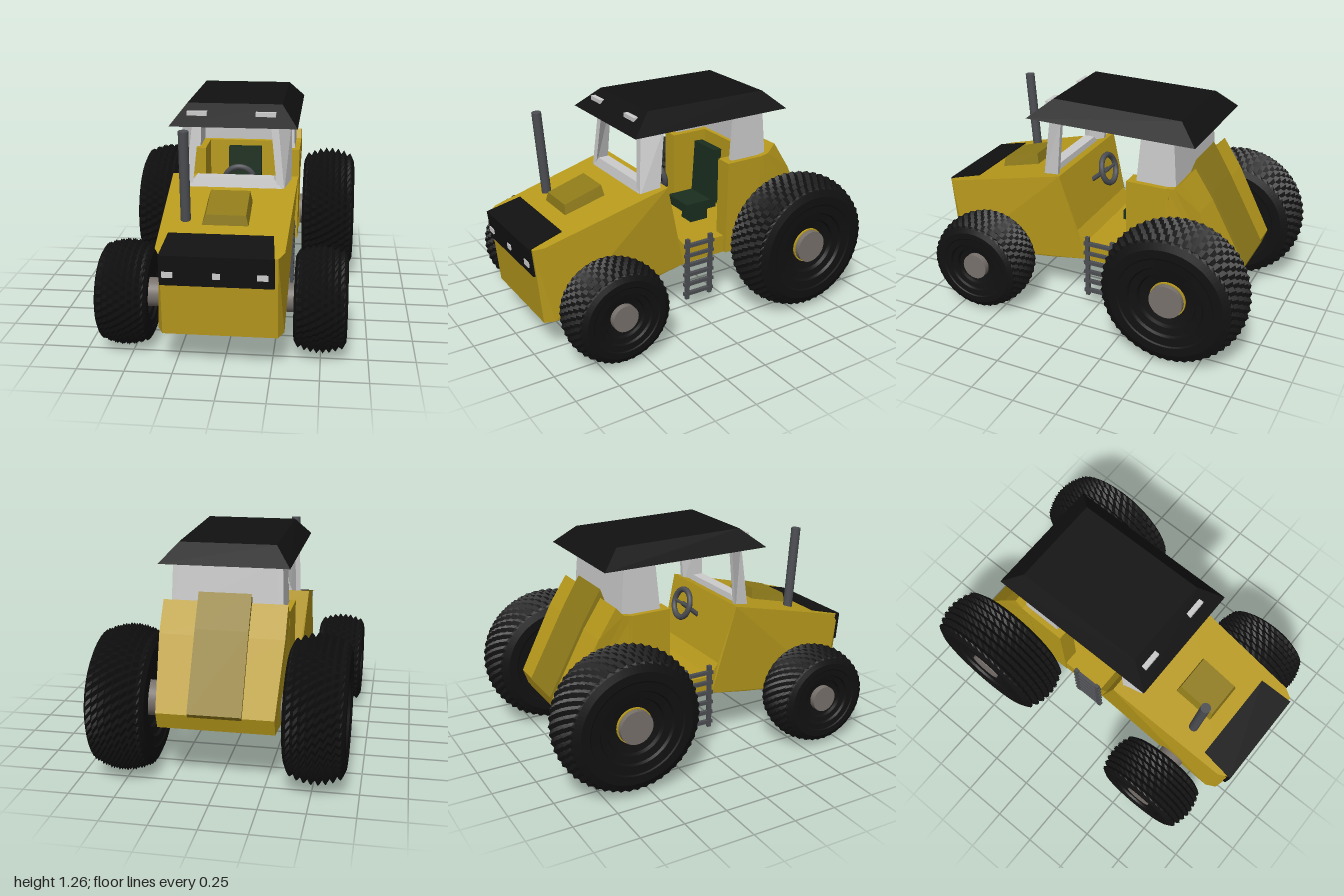
import * as THREE from 'three';

const mat = (color, extra = {}) => new THREE.MeshStandardMaterial({ color, flatShading: true, ...extra });
const YELLOW = mat(0xb89a1c), OCHRE = mat(0x8f7b1a), BLACK = mat(0x111111), GREY = mat(0xcccccc);
const STEEL = mat(0x4c4e52, { flatShading: false }), HUB = mat(0x78716c, { flatShading: false });
const GREEN = mat(0x1a2e1e);

export function createModel() {
  const model = new THREE.Group();

  const add = (name, geometry, material, x = 0, y = 0, z = 0) => {
    const mesh = new THREE.Mesh(geometry, material);
    mesh.name = name;
    mesh.position.set(x, y, z);
    model.add(mesh);
    return mesh;
  };

  // Side profile of [z, y] points pulled across x; halfWidth(z, y) tapers it
  const across = (points, halfWidth) => {
    const shape = new THREE.Shape(points.map(([z, y]) => new THREE.Vector2(z, y)));
    const g = new THREE.ExtrudeGeometry(shape, { depth: 2, bevelEnabled: false });
    g.translate(0, 0, -1).rotateY(-Math.PI / 2);
    const p = g.attributes.position;
    for (let i = 0; i < p.count; i++) p.setX(i, p.getX(i) * halfWidth(p.getZ(i), p.getY(i)));
    g.computeVertexNormals();
    return g;
  };

  // Solid between two four-cornered rings, mirrored when side is -1
  const block = (bottom, top, side = 1) => {
    const ring = r => {
      const m = r.map(([x, y, z]) => [x * side, y, z]);
      return side < 0 ? m.reverse() : m;
    };
    const b = ring(bottom), t = ring(top), v = [];
    const quad = (a, c, d, e) => v.push(...a, ...c, ...d, ...a, ...d, ...e);
    for (let i = 0; i < 4; i++) quad(b[i], b[(i + 1) % 4], t[(i + 1) % 4], t[i]);
    quad(...t);
    quad(...b.slice().reverse());
    const g = new THREE.BufferGeometry();
    g.setAttribute('position', new THREE.Float32BufferAttribute(v, 3));
    g.computeVertexNormals();
    return g;
  };
  const rect = (x0, x1, zFront, zBack, yFront, yBack = yFront) =>
    [[x0, yFront, zFront], [x1, yFront, zFront], [x1, yBack, zBack], [x0, yBack, zBack]];

  // Cylinder between two points
  const rod = (name, a, b, r, material, sides = 20) => {
    const p = new THREE.Vector3(...a), q = new THREE.Vector3(...b);
    const mesh = add(name, new THREE.CylinderGeometry(r, r, p.distanceTo(q), sides), material);
    mesh.position.copy(p).lerp(q, 0.5);
    mesh.quaternion.setFromUnitVectors(new THREE.Vector3(0, 1, 0), q.sub(p).normalize());
    return mesh;
  };

  // Hood with dash and cab floor
  add('hoodAndFloor', across([
    [0.985, 0.64], [0.93, 0.655], [0.2, 0.84], [0.11, 0.5], [0.06, 0.43], [-0.46, 0.43],
    [-0.46, 0.33], [0.07, 0.32], [0.3, 0.28], [0.89, 0.207], [0.945, 0.2],
  ], (z, y) => z > 0.94 ? 0.295 : z > 0.8 ? 0.325 : z > 0.15 && y > 0.6 ? 0.355 : 0.315), YELLOW, -0.01);

  // Black nose cap with three lamps
  add('noseCap', across([
    [0.8, 0.694], [0.998, 0.642], [0.982, 0.48], [0.95, 0.48], [0.965, 0.62], [0.8, 0.67],
  ], z => z < 0.9 ? 0.27 : 0.288), BLACK, -0.02);
  for (const [x, w] of [[-0.265, 0.055], [-0.02, 0.04], [0.21, 0.055]])
    add('noseLamp', new THREE.BoxGeometry(w, 0.03, 0.02), GREY, x, 0.54, 0.985);

  // Raised hood scoop and exhaust
  add('hoodScoop', block(rect(-0.14, 0.12, 0.715, 0.46, 0.68, 0.74), rect(-0.11, 0.1, 0.705, 0.48, 0.765, 0.832)), OCHRE);
  rod('exhaustPipe', [-0.22, 0.66, 0.66], [-0.22, 1.2, 0.7], 0.027, STEEL);

  // Rear body, its raised centre panel, and the fenders either side of the seat
  add('rearBody', across([
    [-0.44, 0.89], [-0.49, 0.9], [-0.535, 0.95], [-0.64, 0.79], [-0.84, 0.42], [-0.81, 0.33], [-0.44, 0.33],
  ], z => z < -0.75 ? 0.312 : 0.335), YELLOW);
  add('rearPanel', across([
    [-0.51, 0.93], [-0.535, 1.0], [-0.64, 0.825], [-0.853, 0.43], [-0.83, 0.4], [-0.6, 0.8],
  ], () => 0.143), OCHRE);
  for (const s of [-1, 1])
    add('fender', block(rect(0.235, 0.33, -0.21, -0.46, 0.33), rect(0.235, 0.335, -0.21, -0.46, 0.89), s), YELLOW);

  // Cab frame: front posts, windscreen sill, rear corner panels and rear wall
  for (const s of [-1, 1]) {
    add('frontPost', block(
      [[0.235, 0.79, 0.335], [0.275, 0.79, 0.335], [0.31, 0.79, 0.23], [0.285, 0.79, 0.23]],
      [[0.195, 1.17, 0.305], [0.235, 1.17, 0.305], [0.305, 1.17, 0.2], [0.275, 1.17, 0.2]], s), GREY);
    add('rearCabSide', block(
      rect(0.275, 0.305, -0.255, -0.49, 0.87), rect(0.265, 0.295, -0.28, -0.465, 1.17), s), GREY);
  }
  add('windscreenSill', block(rect(-0.275, 0.275, 0.34, 0.25, 0.79), rect(-0.215, 0.215, 0.325, 0.26, 0.86)), GREY);
  add('rearCabWall', block(rect(-0.3, 0.3, -0.46, -0.49, 0.87), rect(-0.29, 0.29, -0.44, -0.465, 1.17)), GREY);

  // Roof with two lamps
  add('roof', block(rect(-0.35, 0.345, 0.4, -0.6, 1.155), rect(-0.265, 0.255, 0.27, -0.49, 1.262, 1.255)), BLACK);
  for (const x of [-0.205, 0.17])
    add('roofLamp', new THREE.BoxGeometry(0.11, 0.025, 0.04), GREY, x, 1.215, 0.32);

  // Seat and steering wheel
  add('seatBase', new THREE.BoxGeometry(0.2, 0.055, 0.21), GREEN, 0, 0.548, -0.19);
  add('seatBack', new THREE.BoxGeometry(0.2, 0.34, 0.055), GREEN, 0, 0.715, -0.29).rotation.x = -0.06;
  add('seatPost', new THREE.BoxGeometry(0.1, 0.1, 0.12), GREEN, 0, 0.475, -0.21);
  const steering = add('steeringWheel', new THREE.TorusGeometry(0.083, 0.017, 10, 28), STEEL, 0, 0.775, 0.057);
  steering.rotation.x = 0.28;
  rod('steeringColumn', [0, 0.68, 0.17], [0, 0.775, 0.06], 0.014, STEEL);
  rod('steeringSpoke', [-0.08, 0.775, 0.057], [0.08, 0.775, 0.057], 0.009, STEEL, 8);

  // Ladders
  for (const [x, lift] of [[0.31, 0], [-0.335, 0.03]]) {
    for (const z of [0.045, -0.113])
      add('ladderRail', new THREE.BoxGeometry(0.02, 0.385, 0.024), STEEL, x, 0.28 + lift, z);
    for (let i = 0; i < 6; i++)
      add('ladderRung', new THREE.BoxGeometry(0.022, 0.02, 0.2), STEEL, x, 0.12 + lift + i * 0.062, -0.034);
  }

  // Tyre: ringed sidewalls, and a tread of pointed lugs split by grooves
  const tyre = (radius, half, segments) => {
    const wall = [[0.23, 0.62], [0.38, 0.7], [0.4, 0.82], [0.5, 0.86], [0.52, 0.95], [0.64, 0.97], [0.66, 1], [0.78, 1], [0.87, 0.9]];
    const lugs = 15;
    const pts = wall.map(([r, w]) => new THREE.Vector2(r * radius, -w * half));
    for (let j = 0; j < lugs; j++) {
      const w = (j / (lugs - 1)) * 2 - 1;
      pts.push(new THREE.Vector2(radius * (1 - 0.09 * w * w), w * 0.84 * half));
    }
    pts.push(...wall.slice().reverse().map(([r, w]) => new THREE.Vector2(r * radius, w * half)));
    const g = new THREE.LatheGeometry(pts, segments);
    const p = g.attributes.position;
    for (let k = 0; k < p.count; k++) {
      const i = Math.floor(k / pts.length), j = (k % pts.length) - wall.length;
      if (j < 0 || j >= lugs) continue;
      const f = 1 - (j % 2 ? 0.075 : 0) - ((i + (j >> 1)) % 2 ? 0.03 : 0);
      p.setX(k, p.getX(k) * f);
      p.setZ(k, p.getZ(k) * f);
    }
    g.rotateZ(-Math.PI / 2);
    g.computeVertexNormals();
    return g;
  };
  const tyreMat = mat(0x111111, { side: THREE.DoubleSide });
  const axles = [
    { label: 'front', z: 0.627, y: 0.29, r: 0.299, half: 0.138, xs: [-0.542, 0.495], hub: 0.075, axle: 0.078, ry: 0.96 },
    { label: 'rear', z: -0.583, y: 0.405, r: 0.415, half: 0.16, xs: [-0.515, 0.515], hub: 0.094, axle: 0.097, ry: 0.972 },
  ];
  for (const a of axles) {
    const geometry = tyre(a.r, a.half, a.label === 'rear' ? 96 : 76);
    rod(a.label + 'Axle', [a.xs[0], a.y, a.z], [a.xs[1], a.y, a.z], a.axle, HUB, 32);
    for (const x of a.xs) {
      const s = Math.sign(x);
      add(a.label + 'Tyre', geometry, tyreMat, x, a.y, a.z).scale.y = a.ry;
      rod(a.label + 'Hub', [x, a.y, a.z], [x + s * a.half * 0.88, a.y, a.z], a.hub, HUB, 32);
      if (a.label === 'rear')
        rod('rearHubRing', [x, a.y, a.z], [x + s * a.half * 0.7, a.y, a.z], 0.101, YELLOW, 32);
    }
  }

  return model;
}
